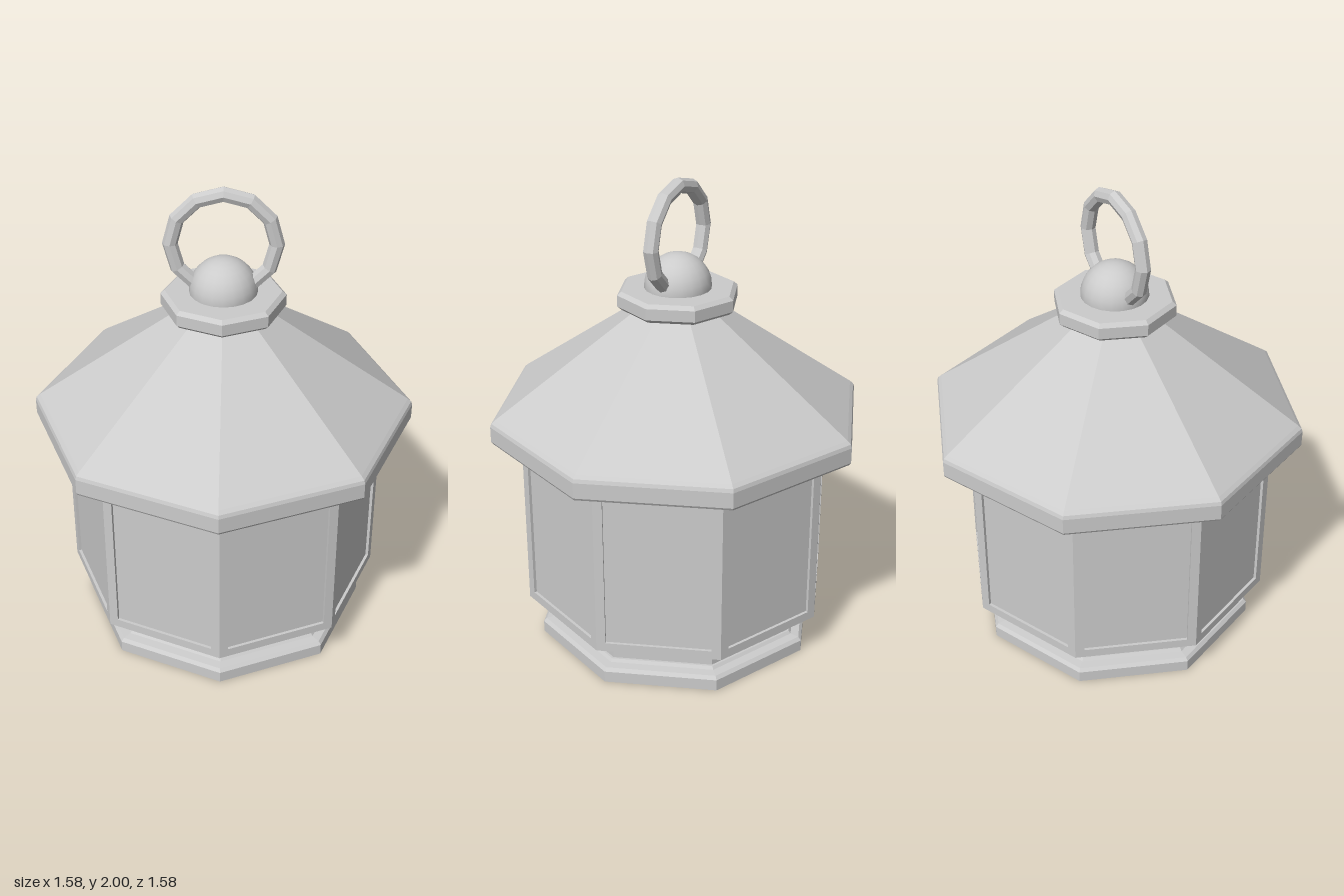
import * as THREE from 'three';

const SIDES = 8;
const BODY_R = 0.665, BODY_Y0 = 0.19, BODY_Y1 = 1.02;
const RECESS = 0.012;

const flat = new THREE.MeshStandardMaterial({ color: 0xcccccc, flatShading: true });
const smooth = new THREE.MeshStandardMaterial({ color: 0xcccccc });

// Octagonal solid from a [radius, height] profile, corners on the x and z axes
function octagon(name, profile) {
  const points = profile.map(([r, y]) => new THREE.Vector2(r, y));
  const mesh = new THREE.Mesh(new THREE.LatheGeometry(points, SIDES), flat);
  mesh.name = name;
  return mesh;
}

// Rectangular border with an opening, one per side of the body
function frameGeometry(width, height, border) {
  const w = width / 2, h = height / 2, a = w - border, b = h - border;
  const rect = (x, y) => [[-x, -y], [x, -y], [x, y], [-x, y]].map(p => new THREE.Vector2(...p));
  const shape = new THREE.Shape(rect(w, h));
  shape.holes.push(new THREE.Path(rect(a, b).reverse()));
  return new THREE.ExtrudeGeometry(shape, { depth: RECESS, bevelEnabled: false });
}

export function createModel() {
  const model = new THREE.Group();
  model.name = 'lantern';

  // Stepped foot and neck
  model.add(octagon('base', [
    [0, 0], [0.61, 0], [0.61, 0.05], [0.597, 0.064], [0.56, 0.068], [0.55, 0.08], [0, 0.08],
  ]));
  model.add(octagon('neck', [[0.54, 0.07], [0.54, 0.2]]));

  // Glass core, set back behind the frames
  const half = Math.PI / SIDES;
  const apothem = BODY_R * Math.cos(half);
  const coreR = (apothem - RECESS) / Math.cos(half);
  model.add(octagon('glassPanels', [
    [0, BODY_Y0], [coreR, BODY_Y0], [coreR, BODY_Y1], [0, BODY_Y1],
  ]));

  // Window frames around the body
  const frame = frameGeometry(2 * BODY_R * Math.sin(half), BODY_Y1 - BODY_Y0, 0.038);
  for (let i = 0; i < SIDES; i++) {
    const angle = (2 * i + 1) * half;
    const mesh = new THREE.Mesh(frame, flat);
    mesh.name = 'windowFrame';
    const d = apothem - RECESS;
    mesh.position.set(Math.sin(angle) * d, (BODY_Y0 + BODY_Y1) / 2, Math.cos(angle) * d);
    mesh.rotation.y = angle;
    model.add(mesh);
  }

  // Hollow roof with a rounded eave
  model.add(octagon('roof', [
    [0.14, 1.43], [0.72, 1.03], [0.755, 0.99], [0.765, 0.945], [0.784, 0.945], [0.79, 0.955],
    [0.79, 1.02], [0.785, 1.035], [0.77, 1.048], [0.15, 1.485],
  ]));

  // Bevelled cap plate
  model.add(octagon('cap', [
    [0, 1.475], [0.235, 1.475], [0.252, 1.49], [0.252, 1.537], [0.235, 1.552], [0, 1.552],
  ]));

  // Ball finial
  const ball = new THREE.Mesh(new THREE.SphereGeometry(0.138, 20, 14), smooth);
  ball.name = 'ball';
  ball.position.y = 1.557;
  model.add(ball);

  // Hanging ring
  const ring = new THREE.Mesh(new THREE.TorusGeometry(0.209, 0.031, 8, 12), flat);
  ring.name = 'hangingRing';
  ring.position.y = 1.76;
  model.add(ring);

  return model;
}
